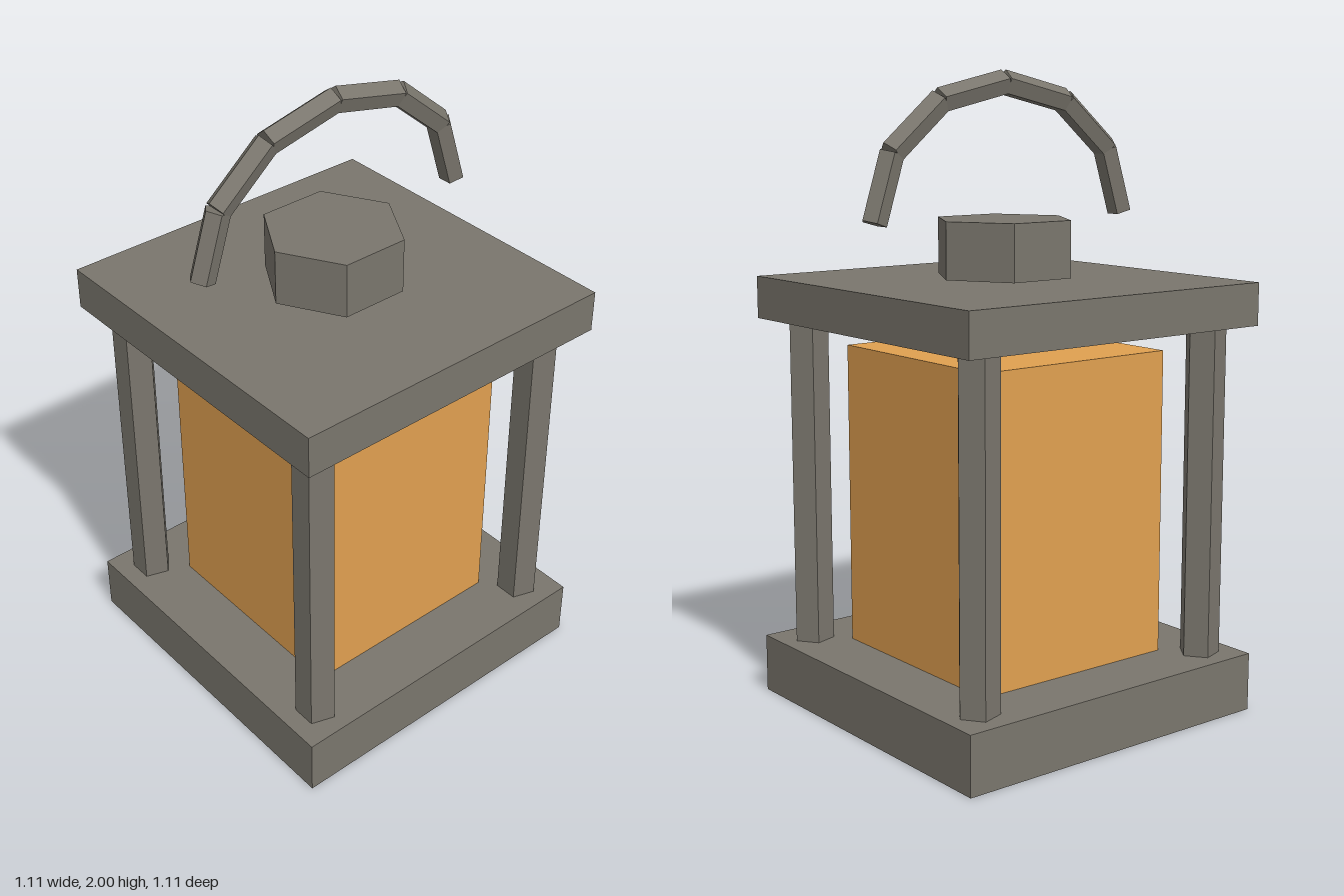
import * as THREE from 'three';

export function createModel() {
  const lantern = new THREE.Group();
  lantern.name = 'lantern';

  const metal = new THREE.MeshStandardMaterial({ color: 0x7a766d, flatShading: true });
  const amber = new THREE.MeshStandardMaterial({ color: 0xe0a050, flatShading: true });

  const add = (name, geometry, material, x, y, z, parent = lantern) => {
    const mesh = new THREE.Mesh(geometry, material);
    mesh.name = name;
    mesh.position.set(x, y, z);
    parent.add(mesh);
    return mesh;
  };

  // Upright prism with one corner pointing to +x
  const prism = (radius, height, sides) =>
    new THREE.CylinderGeometry(radius, radius, height, sides, 1, false, Math.PI / 2);

  // Box spanning two heights
  const slab = (name, width, y0, y1, material) =>
    add(name, new THREE.BoxGeometry(width, y1 - y0, width), material, 0, (y0 + y1) / 2, 0);

  const baseTop = 0.185, roofBottom = 1.23;
  slab('base', 1.105, 0, baseTop, metal);
  slab('glass', 0.7, baseTop, 1.149, amber);
  slab('roof', 1.105, roofBottom, 1.363, metal);

  // Five-sided corner posts
  const postGeometry = prism(0.065, roofBottom - baseTop, 5);
  for (const x of [-0.44, 0.44])
    for (const z of [-0.44, 0.44])
      add('cornerPost', postGeometry, metal, x, (baseTop + roofBottom) / 2, z);

  // Hexagonal cap, just clear of the roof
  add('cap', prism(0.22, 0.176, 6), metal, 0, 1.462, 0);

  // Arched handle: six straight bars along a half ellipse, ridge outward
  const handle = new THREE.Group();
  handle.name = 'handle';
  lantern.add(handle);
  const bars = 6;
  const archPoint = (i) => {
    const t = (Math.PI * i) / bars;
    return new THREE.Vector2(0.48 * Math.cos(t), 1.555 + 0.405 * Math.sin(t));
  };
  for (let i = 0; i < bars; i++) {
    const a = archPoint(i), b = archPoint(i + 1);
    const bar = add('handleBar', prism(0.04, a.distanceTo(b), 5), metal,
      (a.x + b.x) / 2, (a.y + b.y) / 2, 0, handle);
    bar.rotation.z = Math.atan2(b.y - a.y, b.x - a.x) - Math.PI / 2;
  }

  return lantern;
}
